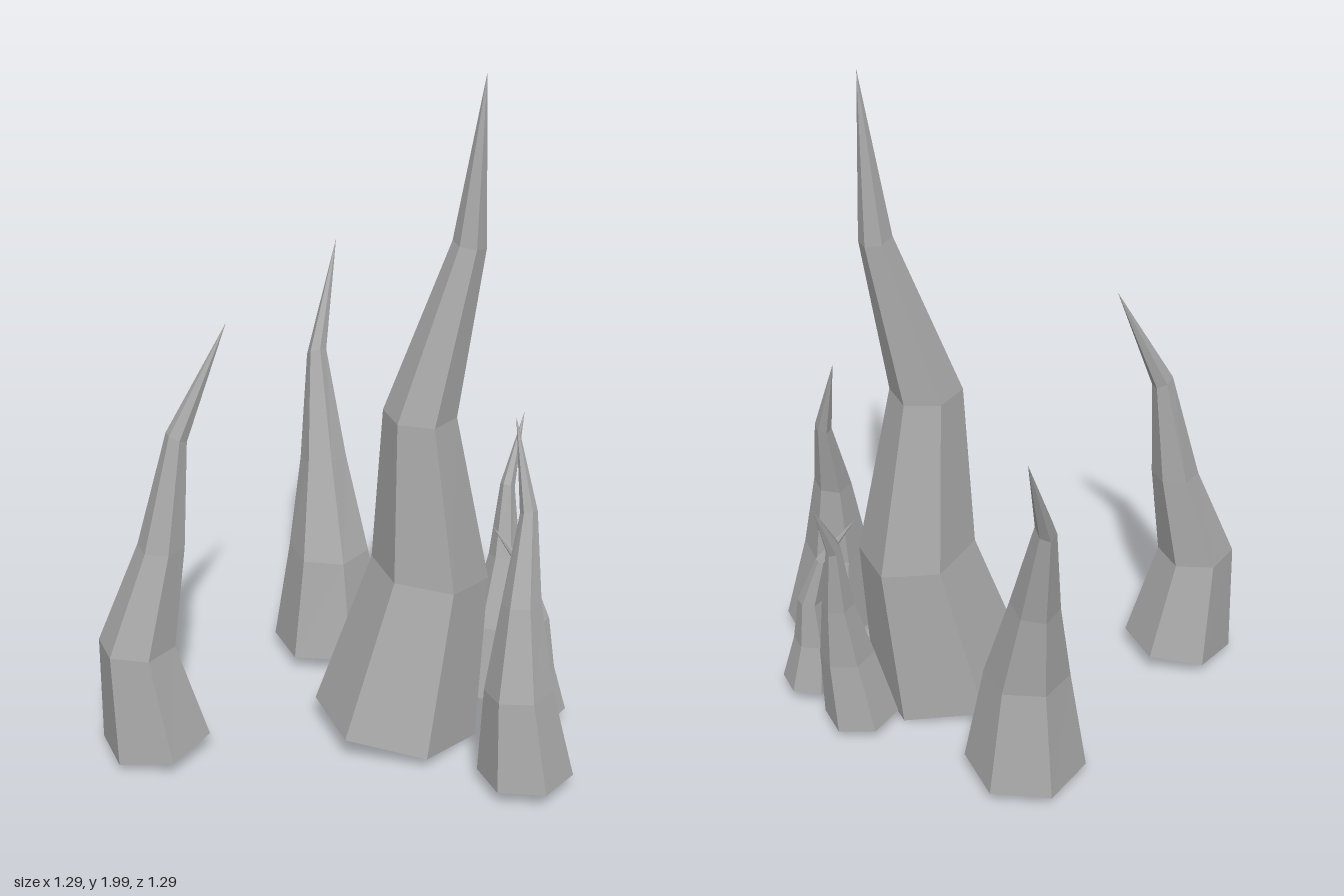
import * as THREE from 'three';

const SIDES = 6;

// Each spike is a stack of tilted hexagonal rings [x, y, z, radius, slopeX, slopeZ], then a tip [x, y, z]
const SPIKES = {
  mainSpike: [
    [0.17, 0.04, 0.115, 0.235, -0.2, 0], [0.27, 0.525, 0.115, 0.167, -0.15, 0],
    [0.225, 1.025, 0.125, 0.102, -0.05, 0], [0.352, 1.51, 0.14, 0.046, -0.2, 0], [0.38, 1.985, 0.155],
  ],
  rightSpike: [
    [-0.51, 0.045, -0.04, 0.157, 0.15, 0], [-0.555, 0.363, -0.047, 0.11, -0.02, 0],
    [-0.473, 0.66, -0.05, 0.067, 0, 0], [-0.417, 0.985, -0.055, 0.029, -0.5, 0], [-0.268, 1.3, -0.056],
  ],
  backSpike: [
    [0.15, 0.045, -0.355, 0.172, 0, 0.06], [0.148, 0.36, -0.362, 0.12, 0, 0],
    [0.155, 0.635, -0.427, 0.069, 0, 0.25], [0.17, 0.94, -0.52, 0.029, 0, 0.7], [0.28, 1.24, -0.643],
  ],
  frontSpike: [
    [0.4, 0.045, 0.51, 0.135, 0, 0.07], [0.375, 0.315, 0.498, 0.096, 0, 0.13],
    [0.392, 0.57, 0.457, 0.055, 0, 0.2], [0.437, 0.81, 0.388, 0.024, 0, 0.5], [0.432, 1.06, 0.298],
  ],
  leftSpike: [
    [0.485, 0.04, 0.048, 0.107, -0.08, 0], [0.518, 0.26, 0.055, 0.079, -0.1, 0],
    [0.547, 0.46, 0.03, 0.046, -0.1, 0.15], [0.565, 0.67, -0.004, 0.021, -0.5, 0.4], [0.642, 0.865, -0.068],
  ],
  smallSpike: [
    [0.568, 0.048, 0.24, 0.083, 0.1, 0.02], [0.555, 0.2, 0.233, 0.059, 0, 0],
    [0.565, 0.35, 0.218, 0.036, 0, 0], [0.535, 0.5, 0.187, 0.015, 0.3, 0.2], [0.446, 0.64, 0.143],
  ],
};

// Corner k of a ring; a tip collapses to one point
function corner([x, y, z, r = 0, sx = 0, sz = 0], k) {
  const a = (k / SIDES) * Math.PI * 2;
  const dx = r * Math.sin(a), dz = r * Math.cos(a);
  return [x + dx, y + dx * sx + dz * sz, z + dz];
}

// Open-bottomed faceted shell through the rings
function spikeGeometry(rings) {
  const pos = [];
  for (let i = 0; i < rings.length - 1; i++) {
    for (let k = 0; k < SIDES; k++) {
      const a = corner(rings[i], k), b = corner(rings[i], k + 1);
      const c = corner(rings[i + 1], k + 1), d = corner(rings[i + 1], k);
      pos.push(...a, ...b, ...c);
      if (i < rings.length - 2) pos.push(...a, ...c, ...d);
    }
  }
  const g = new THREE.BufferGeometry();
  g.setAttribute('position', new THREE.Float32BufferAttribute(pos, 3));
  g.computeVertexNormals();
  return g;
}

export function createModel() {
  const group = new THREE.Group();
  group.name = 'spikeCluster';
  const stone = new THREE.MeshStandardMaterial({ color: 0xaaaaaa, flatShading: true, side: THREE.DoubleSide });
  stone.name = 'grey stone';
  for (const [name, rings] of Object.entries(SPIKES)) {
    const mesh = new THREE.Mesh(spikeGeometry(rings), stone);
    mesh.name = name;
    group.add(mesh);
  }
  return group;
}
